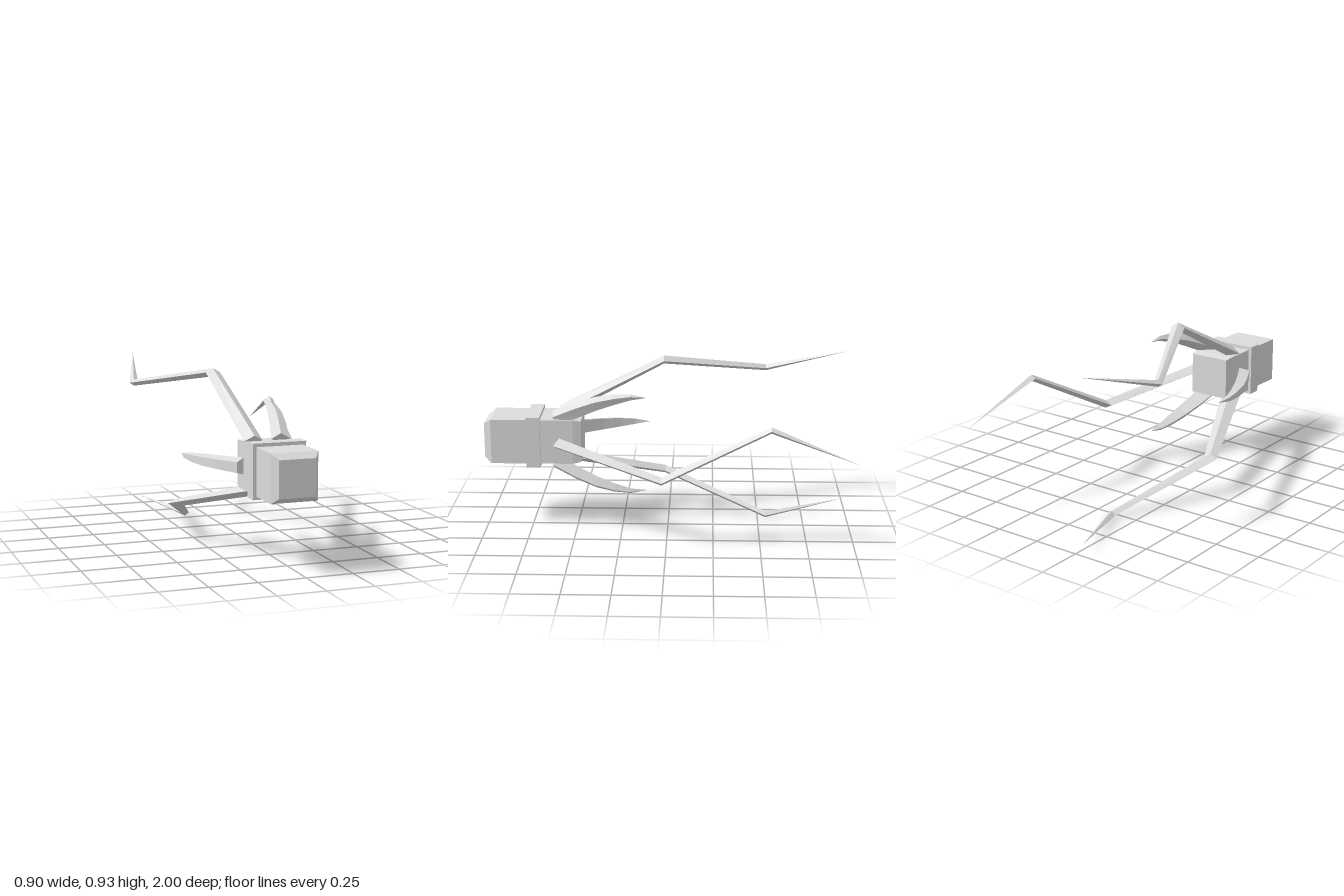
import * as THREE from 'three';

const CX = -0.05, CY = 0.497;

// Faceted skin through equal-sized rings, each clockwise as seen from +z and running towards -z
function loft(rings) {
  const pos = [];
  const a = new THREE.Vector3(), b = new THREE.Vector3(), c = new THREE.Vector3();
  const tri = (p, q, r) => {
    a.set(...p); b.set(...q).sub(a); c.set(...r).sub(a);
    if (b.cross(c).length() > 1e-9) pos.push(...p, ...q, ...r);
  };
  const n = rings[0].length;
  for (let k = 0; k < rings.length - 1; k++) {
    for (let i = 0; i < n; i++) {
      const j = (i + 1) % n, r = rings[k], s = rings[k + 1];
      tri(r[i], r[j], s[j]);
      tri(r[i], s[j], s[i]);
    }
  }
  const first = rings[0], last = rings[rings.length - 1];
  for (let i = 1; i < n - 1; i++) {
    tri(first[0], first[i + 1], first[i]);
    tri(last[0], last[i], last[i + 1]);
  }
  const g = new THREE.BufferGeometry();
  g.setAttribute('position', new THREE.Float32BufferAttribute(pos, 3));
  g.computeVertexNormals();
  return g;
}

const square = (h, z) => [[-h, -h, z], [-h, h, z], [h, h, z], [h, -h, z]];

// Arm joints: [x, y, z, half width, half height]
const joints = [
  [0.145, 0, 0.593, 0.05, 0.028],
  [0.404, -0.125, 0.025, 0.04, 0.0225],
  [0.45, 0.173, -0.545, 0.025, 0.0175],
  [0.499, 0.005, -1, 0, 0],
];

// Long jointed arm: the path turns about the housing, the diamond section stays upright
function armGeometry(turn) {
  const cos = Math.cos(turn), sin = Math.sin(turn);
  const path = joints.map(([x, y, z]) => [x * cos - y * sin, x * sin + y * cos, z]);
  return loft(joints.map(([, , , w, h], k) => {
    const [x, y, z] = path[k];
    // The root is cut square to the first segment
    const slope = (i) => (k === 0 ? (path[1][i] - path[0][i]) / (path[0][2] - path[1][2]) : 0);
    return [[-w, 0], [0, h], [w, 0], [0, -h]]
      .map(([u, v]) => [x + u, y + v, z + slope(0) * u + slope(1) * v]);
  }));
}

export function createModel() {
  const metal = new THREE.MeshStandardMaterial({ color: 0xdcdcdc, flatShading: true });
  metal.name = 'light grey';

  const model = new THREE.Group();
  model.name = 'clawedGrabber';
  model.position.set(CX, CY, 0);
  const root = new THREE.Group();
  root.name = 'grabber';
  root.add(model);

  const add = (name, geometry, angle = 0) => {
    const mesh = new THREE.Mesh(geometry, metal);
    mesh.name = name;
    mesh.rotation.z = angle;
    model.add(mesh);
  };

  // Square housing, bevelled in front and slightly at the back, and the collar around it
  add('housing', loft([
    square(0.095, 1), square(0.123, 0.962), square(0.123, 0.515), square(0.114, 0.47),
  ]));
  const collar = new THREE.BoxGeometry(0.282, 0.282, 0.075);
  collar.translate(0, 0, 0.73);
  add('collar', collar);

  // Short curved claw: [outer radius, inner radius, outer half width, inner half width, outer z, inner z]
  const claw = loft([
    [0.172, 0.125, 0.027, 0.043, 0.625, 0.59],
    [0.237, 0.185, 0.025, 0.038, 0.5, 0.48],
    [0.283, 0.236, 0.022, 0.032, 0.39, 0.375],
    [0.307, 0.272, 0.018, 0.025, 0.29, 0.28],
    [0.316, 0.296, 0.011, 0.015, 0.2, 0.195],
    [0.3, 0.3, 0, 0, 0.11, 0.11],
  ].map(([o, i, wo, wi, zo, zi]) => [[i, wi, zi], [o, wo, zo], [o, -wo, zo], [i, -wi, zi]]));

  // Three of each, alternating around the housing
  ['left', 'upper', 'lower'].forEach((side, k) => {
    const turn = (k * 2 * Math.PI) / 3;
    add(side + 'Arm', armGeometry(turn));
    add('claw' + (k + 1), claw, Math.PI / 3 + turn);
  });
  return root;
}
